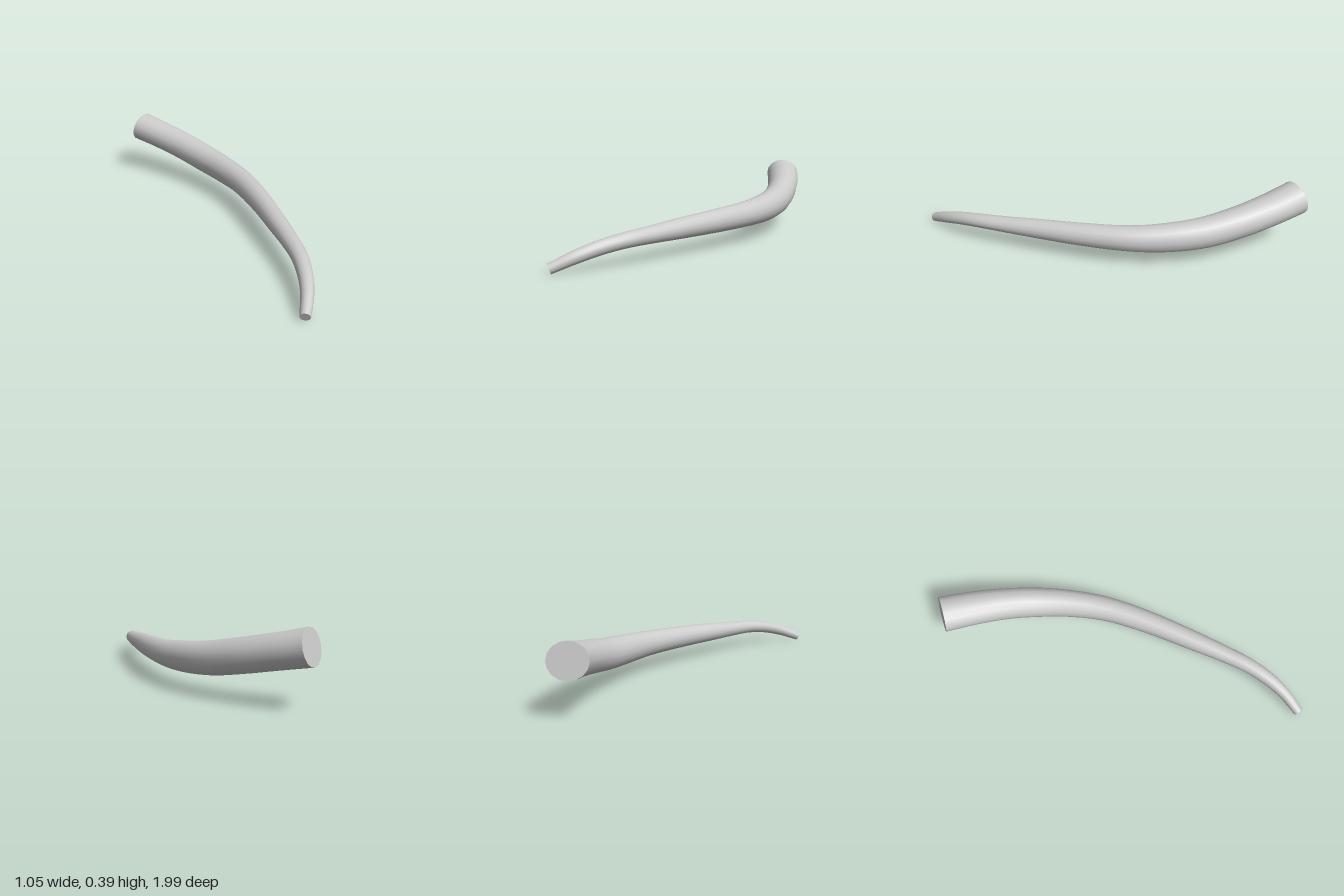
import * as THREE from 'three';

// Stations from thin tip to thick end: x, y, z, half width, half height
const stations = [
  [-0.512, 0.03, 0.976, 0.027, 0.027],
  [-0.4, 0.08, 0.912, 0.034, 0.034],
  [-0.3, 0.115, 0.832, 0.04, 0.038],
  [-0.2, 0.135, 0.73, 0.045, 0.041],
  [-0.1, 0.143, 0.6, 0.05, 0.047],
  [0, 0.15, 0.46, 0.057, 0.056],
  [0.16, 0.159, 0.23, 0.065, 0.066],
  [0.295, 0.167, 0, 0.072, 0.074],
  [0.37, 0.177, -0.2, 0.079, 0.084],
  [0.413, 0.196, -0.4, 0.087, 0.089],
  [0.428, 0.231, -0.6, 0.092, 0.09],
  [0.42, 0.27, -0.8, 0.1, 0.09],
  [0.4, 0.305, -0.971, 0.105, 0.094],
];

// A cylinder bent along the centre line, its rings scaled by the station sizes
function bentHorn(sides, rings) {
  const path = new THREE.CatmullRomCurve3(
    stations.map(([x, y, z]) => new THREE.Vector3(x, y, z)), false, 'catmullrom', 0.5);
  const sizes = new THREE.CatmullRomCurve3(
    stations.map(([, , , w, h]) => new THREE.Vector3(w, h, 0)), false, 'catmullrom', 0.5);
  const up = new THREE.Vector3(0, 1, 0);
  const geometry = new THREE.CylinderGeometry(1, 1, 1, sides, rings);
  const pos = geometry.attributes.position;
  const nor = geometry.attributes.normal;
  const wallCount = (sides + 1) * (rings + 1);

  for (let i = 0; i < pos.count; i++) {
    const t = THREE.MathUtils.clamp(pos.getY(i) + 0.5, 0, 1);
    const along = path.getTangent(t);
    const side = along.clone().cross(up).normalize();
    const top = side.clone().cross(along);
    const size = sizes.getPoint(t);
    const a = pos.getX(i), b = pos.getZ(i);
    const p = path.getPoint(t)
      .addScaledVector(side, a * size.x)
      .addScaledVector(top, b * size.y);
    // Smooth wall normals, flat end caps
    const n = i < wallCount
      ? side.multiplyScalar(a / size.x).addScaledVector(top, b / size.y).normalize()
      : along.multiplyScalar(Math.sign(nor.getY(i)));
    pos.setXYZ(i, p.x, p.y, p.z);
    nor.setXYZ(i, n.x, n.y, n.z);
  }
  return geometry;
}

export function createModel() {
  const group = new THREE.Group();
  const horn = new THREE.Mesh(
    bentHorn(16, 60),
    new THREE.MeshStandardMaterial({ color: 0xcccccc }));
  horn.name = 'curvedHorn';
  group.add(horn);
  return group;
}
